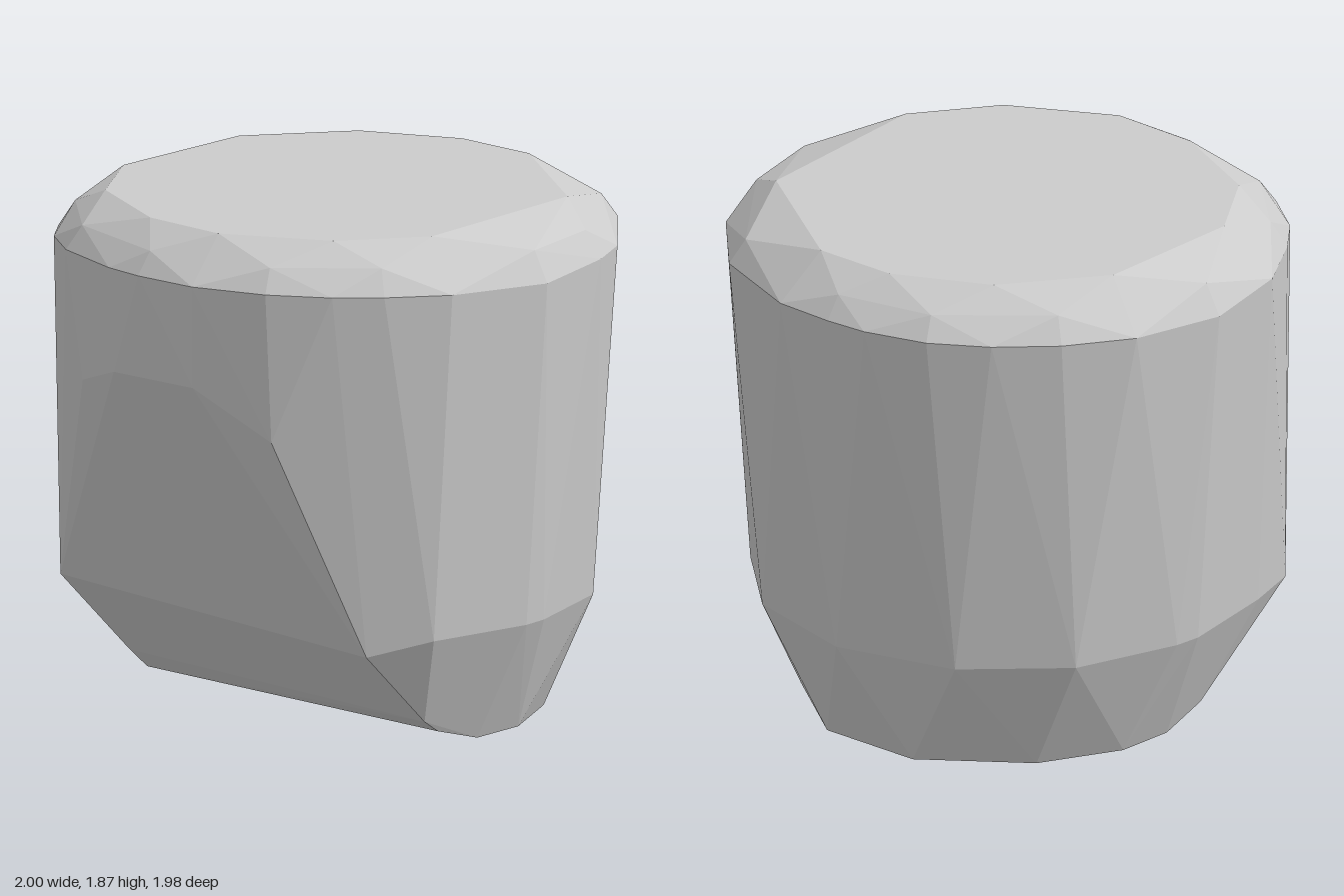
import * as THREE from 'three';
import { ConvexGeometry } from 'three/addons/geometries/ConvexGeometry.js';

const v = (x, y, z) => new THREE.Vector3(x, y, z);

// Widest outline as [x, z], slightly irregular like a chipped stone
const rim = [
  [1, 0], [0.91, 0.39], [0.78, 0.6], [0.66, 0.74], [0.47, 0.88], [0.21, 0.98],
  [-0.04, 0.99], [-0.2, 0.97], [-0.5, 0.87], [-0.68, 0.74], [-0.79, 0.6], [-0.93, 0.36],
  [-1, 0], [-0.93, -0.36], [-0.79, -0.6], [-0.62, -0.78], [-0.43, -0.91], [-0.2, -0.98],
  [-0.04, -0.99], [0.19, -0.98], [0.57, -0.82], [0.84, -0.53], [0.92, -0.36],
];

export function createModel() {
  const points = [];

  // Upper rim and its rounded bevel up to the flat top
  rim.forEach(([x, z], i) => {
    points.push(v(x, 1.68 + 0.03 * Math.abs(z), z));
    if (i % 2 === 0) points.push(v(x * 0.94, 1.79, z * 0.94));
    else points.push(v(x * 0.82, 1.865, z * 0.82));
  });

  // Lower edge of the tapered wall and edge of the flat base, mirrored in x
  for (const s of [-1, 1]) {
    for (const [x, z] of [[0.83, 0.4], [0.9, 0], [0.89, -0.1], [0.76, -0.49], [0.45, -0.78], [0, -0.9]]) {
      points.push(v(s * x, 0.43, z));
    }
    for (const [x, z] of [[0.71, 0.05], [0.7, -0.17], [0.55, -0.46], [0.2, -0.72]]) {
      points.push(v(s * x, 0, z));
    }
    points.push(v(s * 0.7, 0.055, 0.24));
  }

  // Sloping cut across the front, then the undercut to the base
  points.push(
    v(-0.18, 1.335, 0.965), v(0.2, 1.34, 0.965),
    v(-0.39, 1.26, 0.9), v(0.48, 1.17, 0.86),
    v(-0.78, 0.44, 0.6), v(0.67, 0.375, 0.575),
    v(-0.69, 0.135, 0.34), v(0.71, 0.105, 0.32),
  );

  const stone = new THREE.Mesh(
    new ConvexGeometry(points),
    new THREE.MeshStandardMaterial({ color: 0xcccccc, flatShading: true }),
  );
  stone.name = 'stoneBlock';

  const group = new THREE.Group();
  group.name = 'facetedStone';
  group.add(stone);
  return group;
}
